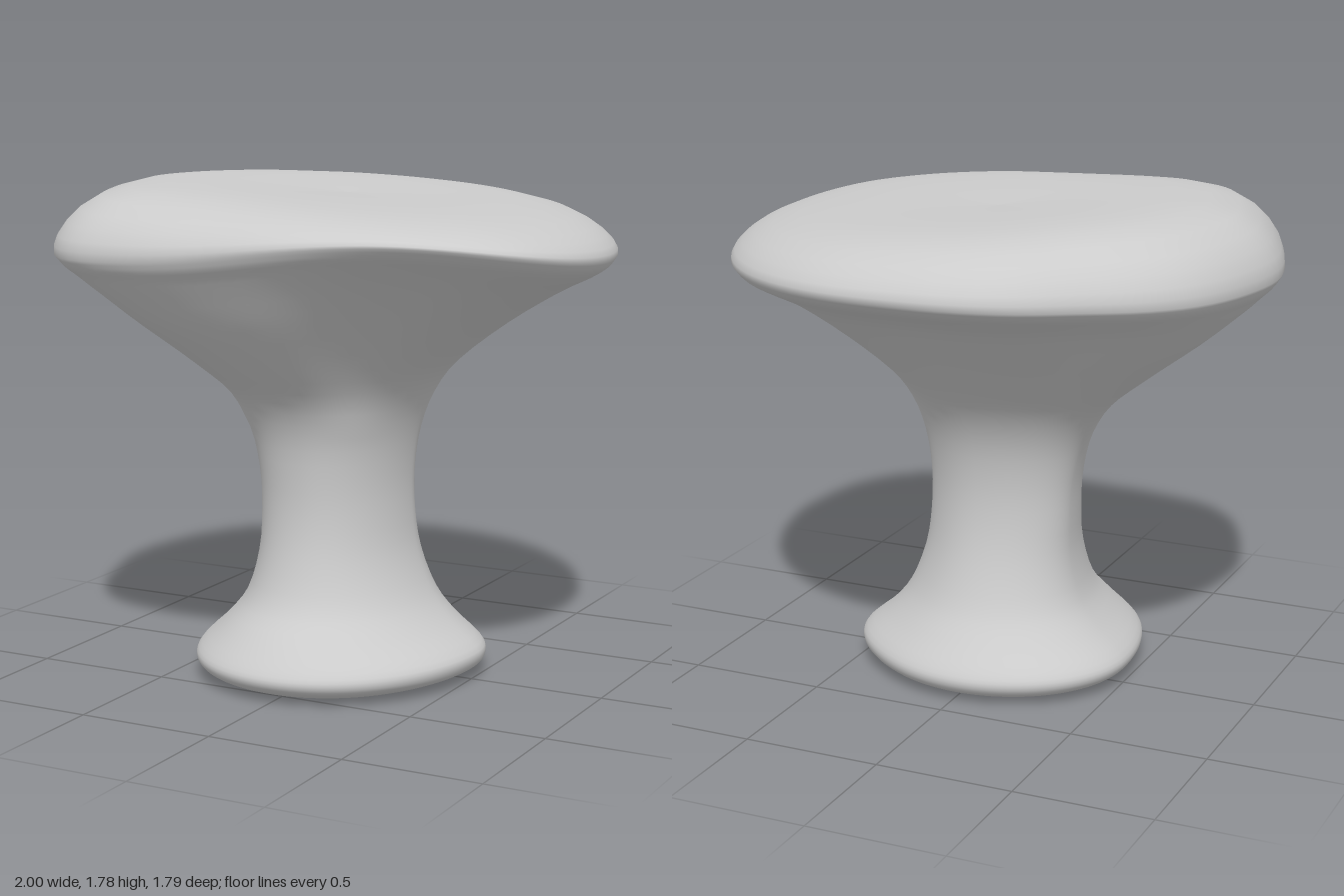
import * as THREE from 'three';

const SEG = 96;

// Rim outline seen from above, as [x, z], going from +x towards +z
const RIM = [
  [1, 0.05], [0.975, 0.33], [0.88, 0.55], [0.71, 0.7], [0.5, 0.805], [0.25, 0.878], [-0.1, 0.895],
  [-0.43, 0.878], [-0.66, 0.815], [-0.81, 0.67], [-0.92, 0.43], [-1, 0.13], [-0.97, -0.15],
  [-0.89, -0.37], [-0.77, -0.53], [-0.6, -0.67], [-0.4, -0.815], [-0.2, -0.885], [0.05, -0.9],
  [0.27, -0.87], [0.47, -0.79], [0.67, -0.645], [0.83, -0.45], [0.95, -0.2],
];

// Sections from the foot to the rim: [height, reach to -x, +x, +z, -z]
const SECTIONS = [
  [0, 0.3, 0.33, 0.4, 0.22], [0.006, 0.38, 0.4, 0.48, 0.31], [0.02, 0.44, 0.455, 0.55, 0.375],
  [0.045, 0.49, 0.51, 0.6, 0.42], [0.08, 0.51, 0.53, 0.62, 0.437], [0.12, 0.49, 0.515, 0.6, 0.42],
  [0.2, 0.405, 0.42, 0.53, 0.355], [0.3, 0.33, 0.34, 0.44, 0.285], [0.45, 0.29, 0.28, 0.385, 0.23],
  [0.6, 0.285, 0.258, 0.36, 0.2], [0.75, 0.295, 0.257, 0.36, 0.195], [0.9, 0.335, 0.28, 0.38, 0.22],
  [1.03, 0.42, 0.33, 0.44, 0.28], [1.15, 0.56, 0.42, 0.56, 0.38], [1.3, 0.75, 0.61, 0.71, 0.535],
  [1.42, 0.885, 0.8, 0.805, 0.675], [1.48, 0.945, 0.92, 0.85, 0.785], [1.515, 0.98, 0.975, 0.88, 0.855],
  [1.55, 1, 1, 0.895, 0.895],
];

// Top of the cap: [scale of the rim outline, share of the climb to the top]
const CAP = [[0.998, 0.12], [0.985, 0.26], [0.955, 0.44], [0.91, 0.62], [0.84, 0.8], [0.74, 0.92],
  [0.62, 0.98], [0.45, 0.99], [0.25, 0.97], [0, 0.96]];

const bump = (a, centre, width) => {
  const d = Math.atan2(Math.sin(a - centre), Math.cos(a - centre)) / width;
  return Math.exp(-d * d);
};

export function createModel() {
  const outline = new THREE.CatmullRomCurve3(
    RIM.map(([x, z]) => new THREE.Vector3(x, 0, z)), true).getSpacedPoints(SEG).slice(0, SEG);
  const angles = outline.map((p) => Math.atan2(p.z / 0.9, p.x));
  const spline = (pick) => new THREE.CatmullRomCurve3(
    SECTIONS.map((s) => new THREE.Vector3(...pick(s))), false, 'catmullrom');
  const minus = spline(([y, l, , , b]) => [l, y, b]);
  const plus = spline(([y, , r, f]) => [r, y, f]);
  // The rim rises towards the front right
  const lift = (a) => 0.1 * bump(a, 1.05, 0.65) + 0.03 * bump(a, -1.6, 0.8) - 0.018;

  const rows = [];
  rows.push(outline.map(() => [0, 0, 0.09]));

  // Foot, stem and flared underside
  const steps = (SECTIONS.length - 1) * 3;
  for (let i = 0; i <= steps; i++) {
    const m = minus.getPoint(i / steps);
    const p = plus.getPoint(i / steps);
    const w = THREE.MathUtils.smoothstep(p.y, 0.9, 1.5);
    const rise = THREE.MathUtils.smoothstep(p.y, 1, 1.52);
    const hollow = Math.sin(Math.PI * THREE.MathUtils.clamp((p.y - 0.95) / 0.6, 0, 1));
    rows.push(outline.map((o, j) => {
      const a = angles[j];
      const dent = 1 - hollow * (0.09 * bump(a, 0.9, 0.4) + 0.07 * bump(a, 2.5, 0.35));
      // Foot and stem lean out at the front left and in at the back right
      const lean = 1 + (1 - rise) * (0.035 * bump(a, 2.3, 0.5) - 0.045 * bump(a, -0.8, 0.5));
      const ux = THREE.MathUtils.lerp(Math.cos(a), o.x, w) * dent * lean;
      const uz = THREE.MathUtils.lerp(Math.sin(a), o.z / 0.9, w) * dent * lean;
      return [ux * (ux > 0 ? p.x : m.x), Math.max(0, p.y + rise * lift(a)), uz * (uz > 0 ? p.z : m.z)];
    }));
  }

  // Gently sloping cap
  for (const [s, climb] of CAP) {
    rows.push(outline.map((o, j) => {
      const x = o.x * s;
      const rimY = 1.55 + lift(angles[j]) * Math.min(1, s * 1.5);
      const topY = 1.745 - 0.06 * x;
      return [x, s === 0 ? 1.73 : THREE.MathUtils.lerp(rimY, topY, climb), o.z * s];
    }));
  }

  const index = [];
  for (let i = 0; i < rows.length - 1; i++) {
    for (let j = 0; j < SEG; j++) {
      const k = (j + 1) % SEG;
      const a = i * SEG + j, b = i * SEG + k, c = a + SEG, d = b + SEG;
      if (i < rows.length - 2) index.push(a, c, d);
      else index.push(a, c, b);
      if (i > 0 && i < rows.length - 2) index.push(a, d, b);
    }
  }
  const geometry = new THREE.BufferGeometry();
  geometry.setAttribute('position', new THREE.Float32BufferAttribute(rows.flat(2), 3));
  geometry.setIndex(index);
  geometry.computeVertexNormals();

  const body = new THREE.Mesh(geometry, new THREE.MeshStandardMaterial({ color: 0xcccccc }));
  body.name = 'flaredPedestal';
  const group = new THREE.Group();
  group.name = 'pedestal';
  group.add(body);
  return group;
}
